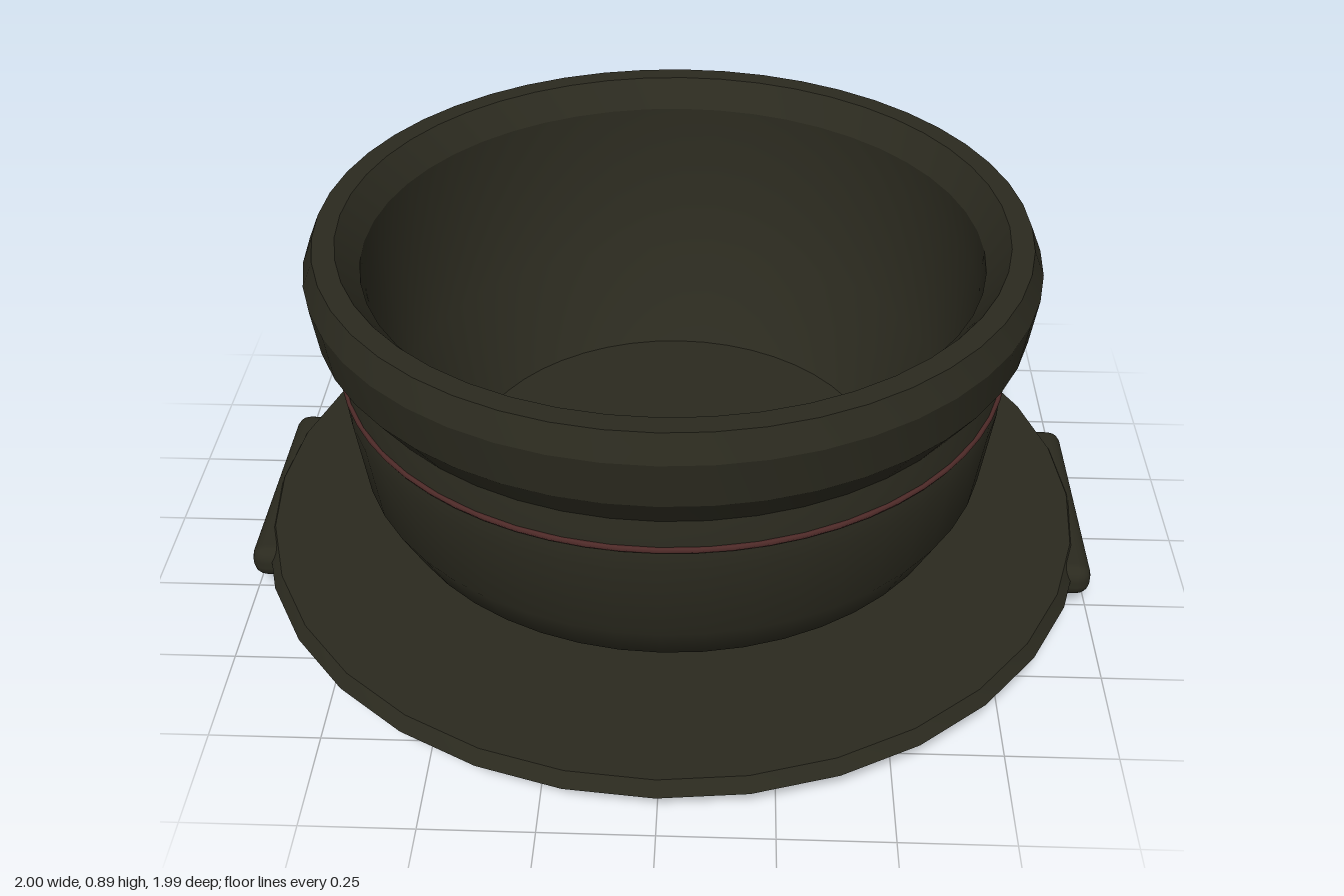
import * as THREE from 'three';
import { RoundedBoxGeometry } from 'three/addons/geometries/RoundedBoxGeometry.js';
import { toCreasedNormals } from 'three/addons/utils/BufferGeometryUtils.js';

export function createModel() {
  const group = new THREE.Group();
  const stoneware = new THREE.MeshStandardMaterial({ color: 0x2b2a1f });
  stoneware.name = 'dark stoneware';
  const trim = new THREE.MeshStandardMaterial({ color: 0x4e2a28 });
  trim.name = 'red trim';

  const add = (name, geometry, material) => {
    const mesh = new THREE.Mesh(geometry, material);
    mesh.name = name;
    group.add(mesh);
    return mesh;
  };
  // Turned part: profile runs from the bottom centre, round the outside, to the top centre
  const turn = (profile, sides) => toCreasedNormals(
    new THREE.LatheGeometry(profile.map(([r, y]) => new THREE.Vector2(r, y)), sides), 0.45);

  // Shallow tray under the bowl
  add('tray', turn([
    [0, 0], [0.68, 0], [0.78, 0.035], [0.85, 0.075], [0.995, 0.107],
    [0.975, 0.14], [0, 0.14],
  ], 32), stoneware);

  // Two grips running under the rim of the tray
  for (const side of [1, -1]) {
    const grip = add(side > 0 ? 'leftGrip' : 'rightGrip',
      new RoundedBoxGeometry(0.21, 0.082, 0.58, 2, 0.034), stoneware);
    grip.position.set(side * 0.895, 0.094, 0);
  }

  // Bowl with a flared collar, bevelled lip and tapering hollow
  add('bowl', turn([
    [0, 0.135], [0.57, 0.135], [0.6, 0.15], [0.69, 0.225], [0.742, 0.325],
    [0.768, 0.52], [0.768, 0.57], [0.755, 0.64], [0.815, 0.725], [0.83, 0.835],
    [0.805, 0.895], [0.755, 0.895], [0.705, 0.83], [0.7, 0.75],
    [0.645, 0.45], [0.505, 0.24], [0, 0.24],
  ], 48), stoneware);

  // Thin coloured ring round the waist
  const ring = add('waistRing', new THREE.TorusGeometry(0.767, 0.007, 6, 64), trim);
  ring.rotation.x = Math.PI / 2;
  ring.position.y = 0.576;

  return group;
}
